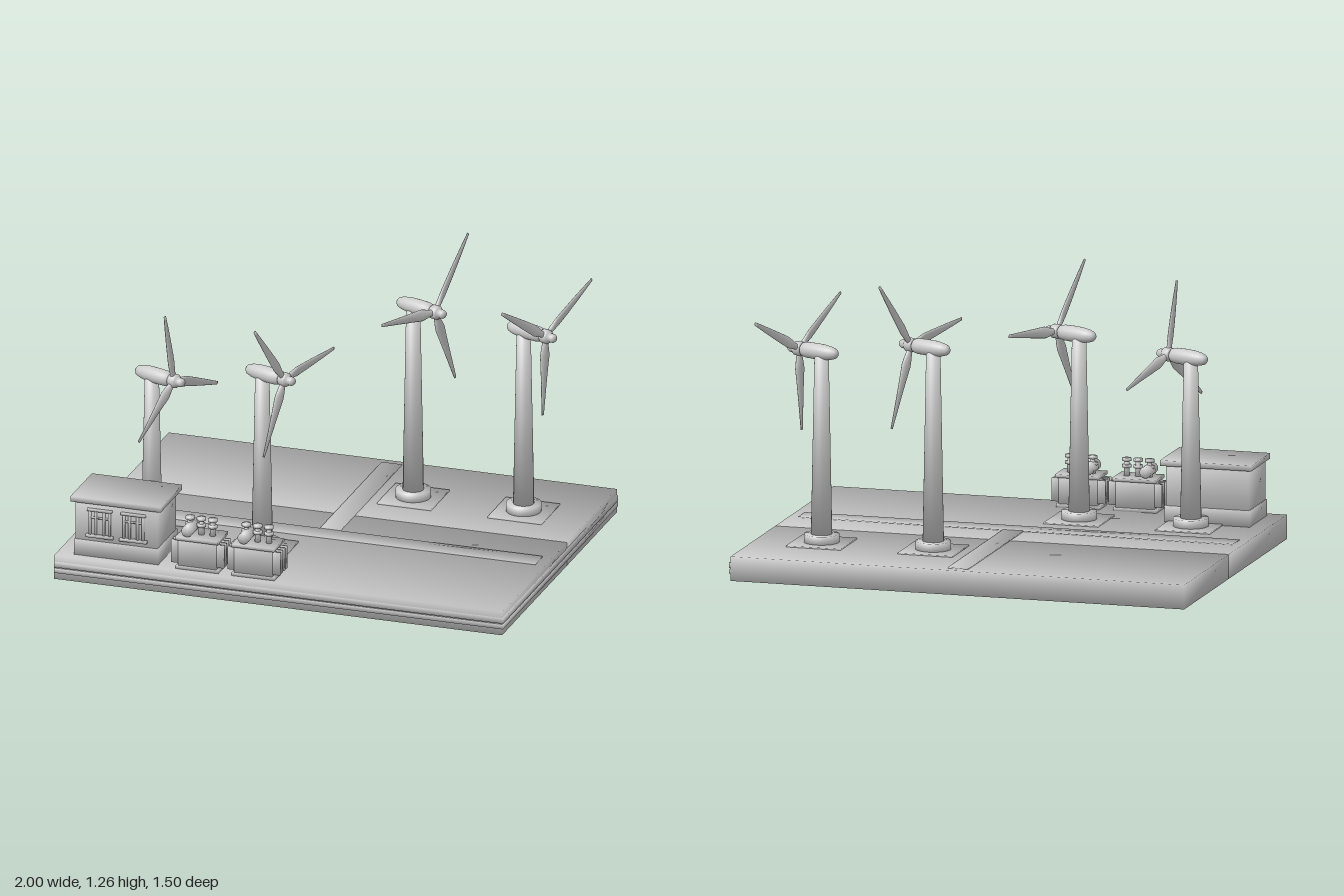
import * as THREE from 'three';
import { mergeVertices } from 'three/addons/utils/BufferGeometryUtils.js';

const mat = new THREE.MeshStandardMaterial({ color: 0xcccccc });
const GROUND = 0.105;

// shared corners with angle-weighted normals, so shading runs softly round every edge
function smooth(source) {
  source.deleteAttribute('uv');
  source.deleteAttribute('normal');
  const geo = mergeVertices(source, 1e-5);
  const pos = geo.attributes.position, idx = geo.index;
  const normals = Array.from({ length: pos.count }, () => new THREE.Vector3());
  for (let i = 0; i < idx.count; i += 3) {
    const ids = [0, 1, 2].map((k) => idx.getX(i + k));
    if (new Set(ids).size < 3) continue;
    const p = ids.map((id) => new THREE.Vector3().fromBufferAttribute(pos, id));
    const face = new THREE.Triangle(...p).getNormal(new THREE.Vector3());
    ids.forEach((id, k) => {
      const a = p[(k + 1) % 3].clone().sub(p[k]);
      const b = p[(k + 2) % 3].clone().sub(p[k]);
      normals[id].addScaledVector(face, a.angleTo(b));
    });
  }
  const flat = normals.flatMap((n) => n.normalize().toArray());
  geo.setAttribute('normal', new THREE.Float32BufferAttribute(flat, 3));
  return geo;
}

function add(parent, name, geo, x = 0, y = 0, z = 0) {
  const m = new THREE.Mesh(smooth(geo), mat);
  m.name = name;
  m.position.set(x, y, z);
  parent.add(m);
  return m;
}

// box given by its min and max corners
function box(parent, name, [x0, x1], [y0, y1], [z0, z1]) {
  return add(parent, name, new THREE.BoxGeometry(x1 - x0, y1 - y0, z1 - z0),
    (x0 + x1) / 2, (y0 + y1) / 2, (z0 + z1) / 2);
}

const cyl = (rTop, rBottom, h, n = 24) => new THREE.CylinderGeometry(rTop, rBottom, h, n);

function lathe(points, n = 24) {
  return new THREE.LatheGeometry(points.map(([r, y]) => new THREE.Vector2(r, y)), n);
}

// tapered, twisted blade growing along +y, chord along z
function bladeGeometry(length) {
  const stations = [[0, 0.023, 0.023], [0.08, 0.026, 0.022], [0.24, 0.05, 0.018],
    [0.5, 0.038, 0.013], [0.8, 0.024, 0.009], [1, 0.014, 0.005]];
  const geo = new THREE.CylinderGeometry(1, 1, 1, 14, 20);
  const p = geo.attributes.position;
  for (let i = 0; i < p.count; i++) {
    const t = p.getY(i) + 0.5;
    let k = 0;
    while (k < stations.length - 2 && t > stations[k + 1][0]) k++;
    const [a, b] = [stations[k], stations[k + 1]];
    const f = (t - a[0]) / (b[0] - a[0]);
    const chord = THREE.MathUtils.lerp(a[1], b[1], f) / 2;
    const thick = THREE.MathUtils.lerp(a[2], b[2], f) / 2;
    const twist = 0.4 * (1 - t) ** 2;
    const x = p.getX(i) * thick, z = p.getZ(i) * chord;
    p.setXYZ(i, x * Math.cos(twist) + z * Math.sin(twist), t * length,
      z * Math.cos(twist) - x * Math.sin(twist));
  }
  return geo;
}

function makeTurbine(x, z, hubY, length, phaseDeg) {
  const g = new THREE.Group();
  g.name = 'windTurbine';
  g.position.set(x, 0, z);
  box(g, 'foundationPad', [-0.12, 0.12], [0.1, 0.111], [-0.12, 0.12]);
  add(g, 'pedestal', cyl(0.075, 0.075, 0.041, 32), 0, 0.1255, 0);
  const h = hubY - 0.14;
  add(g, 'tower', cyl(0.03, 0.045, h, 28), 0, 0.14 + h / 2, 0);

  // head turned towards the wind, axis along local +x
  const head = new THREE.Group();
  head.name = 'turbineHead';
  head.position.y = hubY;
  head.rotation.y = -0.34;
  g.add(head);
  const nacelle = add(head, 'nacelle', lathe([[0, -0.084], [0.012, -0.081], [0.021, -0.072],
    [0.028, -0.05], [0.033, -0.015], [0.034, 0.03], [0.033, 0.075], [0.029, 0.094],
    [0.02, 0.102], [0, 0.104]]));
  nacelle.rotation.z = -Math.PI / 2;
  const hub = add(head, 'hub', lathe([[0, 0.098], [0.026, 0.1], [0.03, 0.106], [0.03, 0.132],
    [0.025, 0.139], [0.019, 0.141], [0.019, 0.16], [0.014, 0.169], [0, 0.172]]));
  hub.rotation.z = -Math.PI / 2;
  for (let i = 0; i < 3; i++) {
    const blade = add(head, 'blade', bladeGeometry(length), 0.117, 0, 0);
    blade.rotation.x = Math.PI / 2 - THREE.MathUtils.degToRad(phaseDeg + i * 120);
  }
  return g;
}

function makeBuilding() {
  const g = new THREE.Group();
  g.name = 'controlBuilding';
  box(g, 'walls', [-0.92, -0.555], [GROUND, 0.35], [0.455, 0.695]);
  box(g, 'plinth', [-0.925, -0.55], [GROUND, 0.175], [0.45, 0.7]);
  box(g, 'roof', [-0.935, -0.535], [0.348, 0.372], [0.438, 0.714]);
  for (const x of [-0.81, -0.66]) {
    const w = new THREE.Group();
    w.name = 'window';
    g.add(w);
    box(w, 'sill', [x - 0.06, x + 0.06], [0.195, 0.206], [0.69, 0.712]);
    box(w, 'lintel', [x - 0.055, x + 0.055], [0.312, 0.322], [0.69, 0.708]);
    box(w, 'crossbar', [x - 0.045, x + 0.045], [0.278, 0.285], [0.69, 0.702]);
    for (const dx of [-0.043, -0.018, 0.018, 0.043])
      box(w, 'mullion', [x + dx - 0.005, x + dx + 0.005], [0.2, 0.315], [0.69, 0.704]);
  }
  return g;
}

function makeTransformer(x) {
  const g = new THREE.Group();
  g.name = 'transformer';
  g.position.set(x, 0, 0.655);
  box(g, 'skid', [-0.095, 0.095], [GROUND, 0.12], [-0.05, 0.06]);
  box(g, 'tank', [-0.085, 0.085], [0.115, 0.24], [-0.048, 0.057]);
  box(g, 'lid', [-0.095, 0.095], [0.236, 0.25], [-0.068, 0.066]);
  // cooling fins on both ends
  for (const s of [-1, 1]) {
    for (let i = 0; i < 4; i++)
      add(g, 'coolingFin', new THREE.BoxGeometry(0.034, 0.1, 0.016), s * 0.1, 0.179, -0.036 + i * 0.027);
    for (const y of [0.14, 0.215]) {
      const pipe = add(g, 'headerPipe', cyl(0.006, 0.006, 0.09, 12), s * 0.103, y, 0.004);
      pipe.rotation.x = Math.PI / 2;
    }
  }
  // oil tank lying across one end of the lid
  const oilTank = add(g, 'oilTank', cyl(0.025, 0.025, 0.105), -0.045, 0.277, 0.005);
  oilTank.rotation.x = Math.PI / 2;
  // ribbed insulators on the lid
  for (const dx of [-0.05, 0, 0.05]) {
    add(g, 'insulator', cyl(0.01, 0.013, 0.075, 16), dx, 0.285, 0);
    for (const y of [0.292, 0.32])
      add(g, 'insulatorDisc', cyl(0.02, 0.02, 0.012, 20), dx, y, 0);
  }
  return g;
}

export function createModel() {
  const model = new THREE.Group();
  model.name = 'windFarm';

  // base in two slabs, with ribs standing out on the front and left edges
  const base = new THREE.Group();
  base.name = 'base';
  model.add(base);
  box(base, 'backSlab', [-1, 0.993], [0, GROUND], [-0.747, -0.1]);
  box(base, 'frontSlab', [-1, 0.993], [0, GROUND], [-0.1, 0.741]);
  for (const y of [[0.03, 0.049], [0.055, 0.078]])
    box(base, 'edgeRib', [-0.998, 1], y, [-0.745, 0.748]);

  // roads
  box(model, 'mainRoad', [-0.96, 0.95], [0.1, 0.109], [0.09, 0.185]);
  box(model, 'crossRoad', [-0.04, 0.05], [0.1, 0.109], [-0.71, 0.09]);

  // x, z, hub height, blade length, rotor phase in degrees
  const turbines = [
    [-0.686, 0.386, 0.833, 0.313, 79],
    [-0.195, 0.386, 0.902, 0.34, 54],
    [0.215, -0.376, 0.973, 0.364, 8],
    [0.706, -0.376, 0.927, 0.352, 33],
  ];
  for (const t of turbines) model.add(makeTurbine(...t));

  model.add(makeBuilding());
  for (const x of [-0.373, -0.123]) model.add(makeTransformer(x));
  return model;
}
